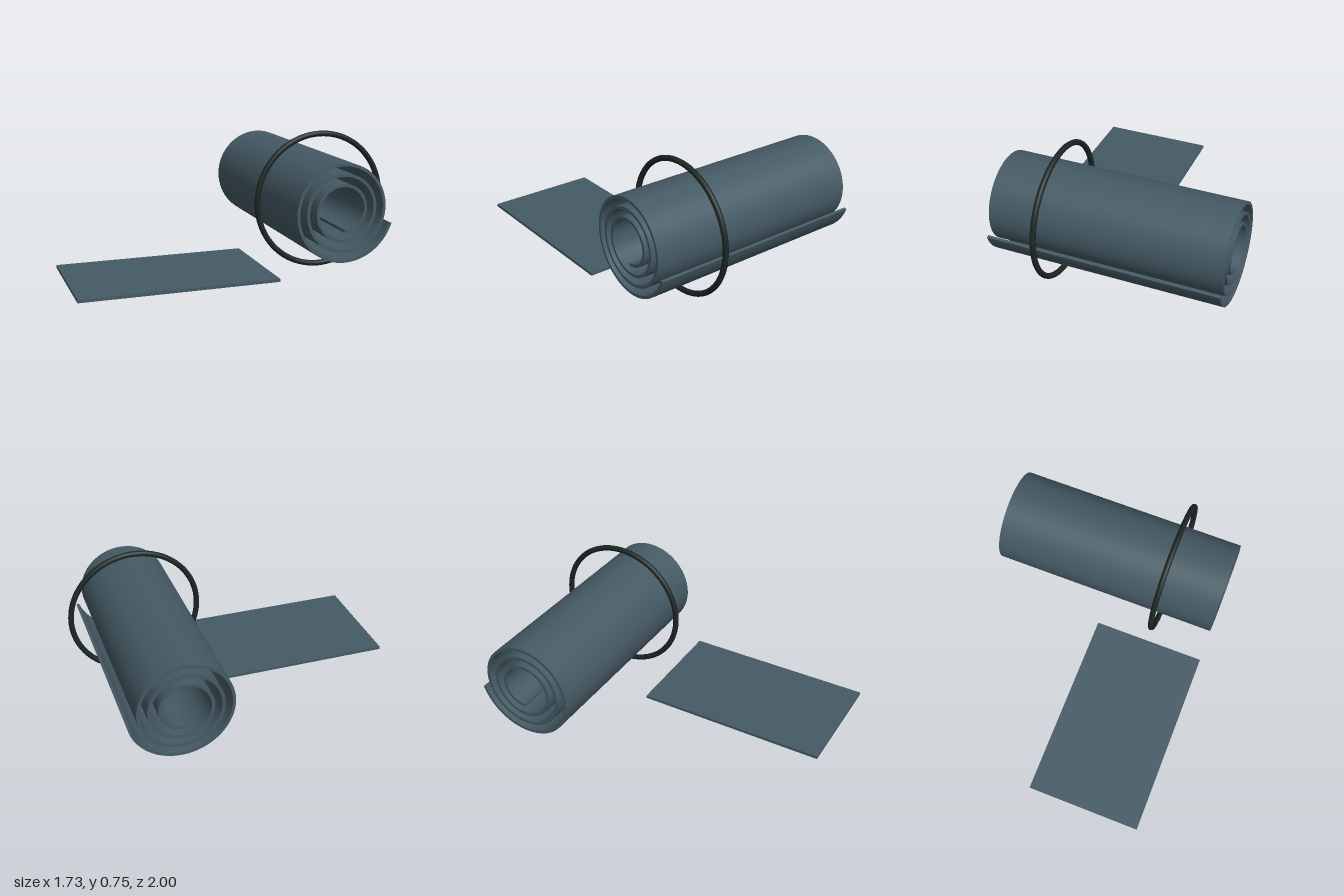
import * as THREE from 'three';
import { toCreasedNormals } from 'three/addons/utils/BufferGeometryUtils.js';

const ROLL_X = 0.408, ROLL_Y = 0.377, THICKNESS = 0.016;

// Closed outline of a coiled strip, wound clockwise from the loose outer flap inwards
function coilShape({ outerRadius, pitch, startAngle, turns, thickness, steps }) {
  const outer = [], inner = [];
  for (let i = 0; i <= steps; i++) {
    const t = (turns * i) / steps;
    const a = startAngle - t * Math.PI * 2;
    const r = outerRadius - pitch * t;
    outer.push(new THREE.Vector2(Math.cos(a) * r, Math.sin(a) * r));
    inner.push(new THREE.Vector2(Math.cos(a) * (r - thickness), Math.sin(a) * (r - thickness)));
  }
  return new THREE.Shape([...outer, ...inner.reverse()]);
}

export function createModel() {
  const matFoam = new THREE.MeshStandardMaterial({ color: 0x455a64 });
  matFoam.name = 'slate mat';
  const rubber = new THREE.MeshStandardMaterial({ color: 0x1b2624 });
  rubber.name = 'dark rubber';

  const model = new THREE.Group();
  model.name = 'rolledMatSet';
  model.rotation.y = THREE.MathUtils.degToRad(35);

  const add = (name, geometry, material, x, y, z) => {
    const mesh = new THREE.Mesh(geometry, material);
    mesh.name = name;
    mesh.position.set(x, y, z);
    model.add(mesh);
  };

  // Rolled mat: spiral section extruded along its axis
  const coil = coilShape({
    outerRadius: 0.288, pitch: 0.054, startAngle: THREE.MathUtils.degToRad(-17),
    turns: 3.2, thickness: THICKNESS, steps: 240,
  });
  const roll = new THREE.ExtrudeGeometry(coil, { depth: 1.27, bevelEnabled: false });
  add('rolledMat', toCreasedNormals(roll, Math.PI / 5), matFoam, ROLL_X, ROLL_Y, -0.743);

  // Loose strap ring around the roll
  add('strapRing', new THREE.TorusGeometry(0.361, 0.0155, 16, 96), rubber, ROLL_X, ROLL_Y, 0.21);

  // Flat sheet lying beside the roll
  add('flatSheet', new THREE.BoxGeometry(1.04, THICKNESS, 0.635), matFoam, -0.465, 0.04, 0.208);

  const root = new THREE.Group();
  root.name = 'matAndStrap';
  root.add(model);
  return root;
}
